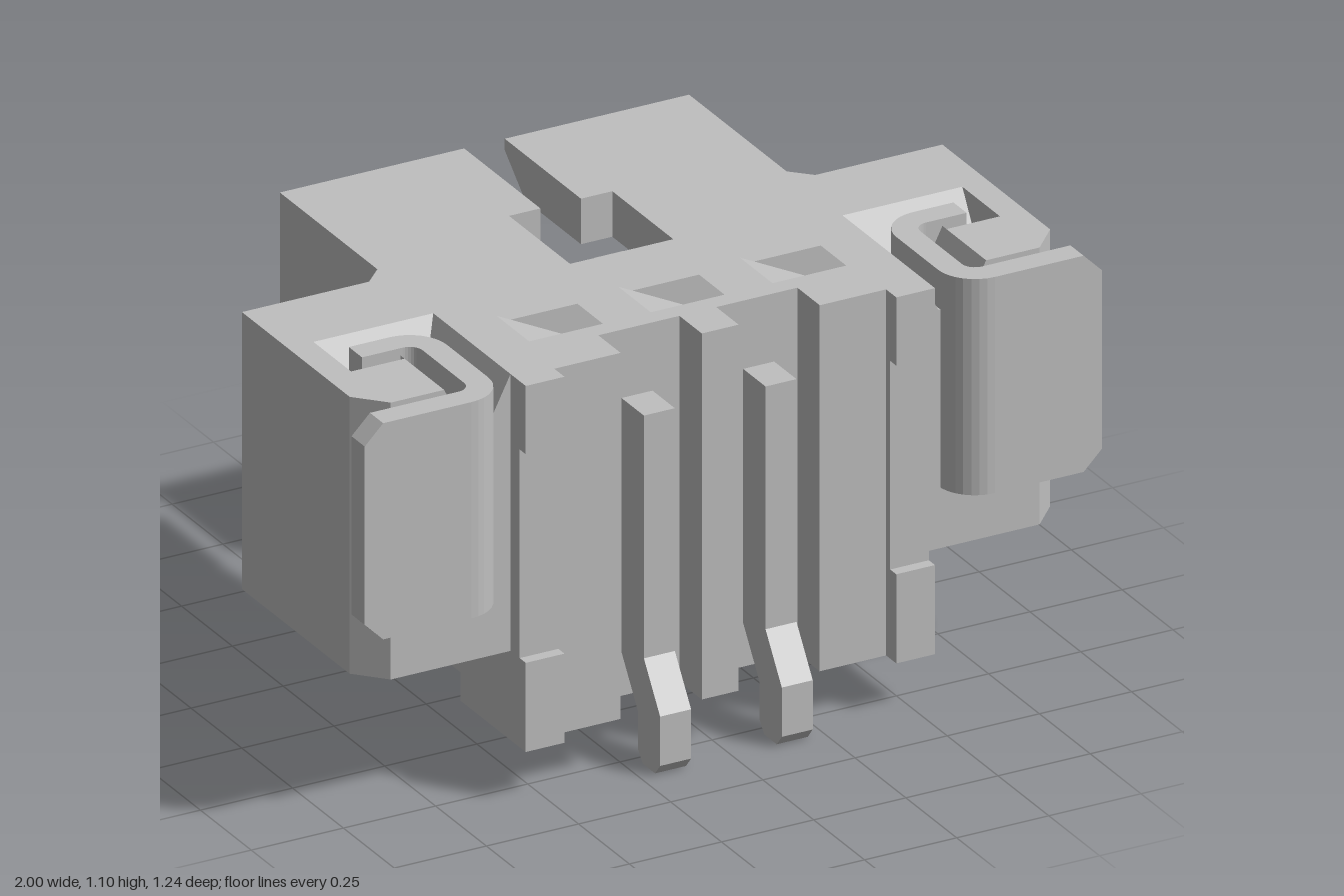
import * as THREE from 'three';

const housingMat = new THREE.MeshStandardMaterial({ color: 0xbfbfbf });
housingMat.name = 'light grey';

function shapeOf(pts) {
  return new THREE.Shape(pts.map(([a, b]) => new THREE.Vector2(a, b)));
}

// outline of [x, z] points raised from y0 to y1
function alongY(pts, y0, y1, holes = []) {
  const flip = (list) => list.map(([x, z]) => [x, -z]);
  const s = shapeOf(flip(pts));
  for (const h of holes) s.holes.push(shapeOf(flip(h)));
  const g = new THREE.ExtrudeGeometry(s, { depth: y1 - y0, bevelEnabled: false });
  return g.rotateX(-Math.PI / 2).translate(0, y0, 0);
}

// outline of [z, y] points running from x0 to x1
function alongX(pts, x0, x1) {
  const g = new THREE.ExtrudeGeometry(shapeOf(pts), { depth: x1 - x0, bevelEnabled: false });
  return g.rotateY(-Math.PI / 2).translate(x1, 0, 0);
}

// outline of [x, y] points running from z0 to z1
function alongZ(pts, z0, z1) {
  const g = new THREE.ExtrudeGeometry(shapeOf(pts), { depth: z1 - z0, bevelEnabled: false });
  return g.translate(0, 0, z0);
}

function box(x0, x1, y0, y1, z0, z1) {
  const g = new THREE.BoxGeometry(Math.abs(x1 - x0), y1 - y0, z1 - z0);
  return g.translate((x0 + x1) / 2, (y0 + y1) / 2, (z0 + z1) / 2);
}

const rect = (x0, x1, z0, z1) => [[x0, z0], [x1, z0], [x1, z1], [x0, z1]];

function arc(cx, cz, r, a0, a1, n = 8) {
  return Array.from({ length: n + 1 }, (_, i) => {
    const a = a0 + ((a1 - a0) * i) / n;
    return [cx + r * Math.cos(a), cz + r * Math.sin(a)];
  });
}

export function createModel() {
  const model = new THREE.Group();
  const add = (name, geometry) => {
    const m = new THREE.Mesh(geometry, housingMat);
    m.name = name;
    model.add(m);
  };
  const mirrorPts = (pts, s) => pts.map(([a, b]) => [a * s, b]);
  const spanX = (s, a, b) => (s > 0 ? [a, b] : [-b, -a]);

  // base block with stepped front and contact slots
  const half = [[0.555, 0.54], [0.45, 0.54], [0.27, 0.54], [0.27, 0.43], [0.05, 0.43], [0.05, 0.54]];
  const front = [...half, ...half.slice().reverse().map(([x, z]) => [-x, z])];
  const baseOutline = (zBack) => [[0.555, zBack], ...front, [-0.555, zBack]];
  add('baseFoot', alongY(baseOutline(0.27), 0.135, 0.21));
  add('base', alongY(baseOutline(0.2), 0.21, 1.0));

  // shallow sloped pockets in the top of the base
  const pockets = [-0.33, 0, 0.33].map((x) => [x - 0.1, x + 0.1]);
  add('baseTop', alongY(baseOutline(0.12), 1.0, 1.1, pockets.map(([a, b]) => rect(a, b, 0.22, 0.38))));
  for (const [a, b] of pockets) {
    add('pocketSlope', alongZ([[a, 1.0], [b, 1.0], [b - 0.02, 1.01], [a, 1.1]], 0.22, 0.38));
  }

  // cavity roof with keyed slot
  const roof = (z) => [
    [-0.555, z], [-0.055, z], [-0.055, -0.245], [-0.14, -0.245], [-0.14, 0.055], [0.14, 0.055],
    [0.14, -0.245], [0.055, -0.245], [0.055, z], [0.555, z], [0.555, 0.2], [-0.555, 0.2],
  ];
  const thinRoof = roof(-0.62);
  thinRoof[10] = [0.555, 0.12];
  thinRoof[11] = [-0.555, 0.12];
  add('roofTop', alongY(thinRoof, 1.07, 1.1));
  add('roofUnderside', alongY(roof(-0.52), 0.98, 1.07));

  for (const s of [1, -1]) {
    // lead-in bevel at the cavity mouth
    add('roofBevel', alongX([[-0.62, 1.07], [-0.52, 0.98], [-0.52, 1.07]], ...spanX(s, 0.055, 0.5)));

    // cavity side wall, guide rib and lower rail
    add('sideWall', alongY(mirrorPts([
      [0.555, -0.62], [0.535, -0.62], [0.47, -0.54], [0.47, 0.2], [0.555, 0.2],
    ], s), 0.37, 1.07));
    add('guideRib', alongX([[-0.55, 0.57], [-0.5, 0.46], [0.2, 0.46], [0.2, 0.57]], ...spanX(s, 0.36, 0.48)));
    add('lowerRail', alongZ(mirrorPts([
      [0.27, 0.21], [0.555, 0.21], [0.555, 0.37], [0.31, 0.37], [0.27, 0.33],
    ], s), -0.36, 0.22));

    // front corner post: proud at both ends, recessed between
    const [p0, p1] = spanX(s, 0.45, 0.555);
    add('cornerPost', alongX([
      [0.5, 0.135], [0.59, 0.135], [0.59, 0.37], [0.56, 0.37],
      [0.56, 0.92], [0.59, 0.92], [0.59, 1.1], [0.5, 1.1],
    ], p0, p1));

    // side ear with L-shaped pocket in the top
    const ear = [
      [0.5, -0.1], [0.555, -0.14], [0.605, -0.09], [0.95, -0.09], [0.95, 0.44], [0.88, 0.515], [0.5, 0.515],
    ];
    add('ear', alongY(mirrorPts(ear, s), 0.37, 1.0));
    add('earTop', alongY(mirrorPts([
      [0.555, -0.14], [0.605, -0.09], [0.95, -0.09], [0.95, 0.44], [0.88, 0.515], [0.735, 0.515],
      [0.735, 0.32], [0.88, 0.32], [0.88, 0.135], [0.555, 0.135],
    ], s), 1.0, 1.1));
    // sloped pocket sides
    add('earPocketSlope', alongX([[0.135, 1.0], [0.195, 1.0], [0.135, 1.1]], ...spanX(s, 0.555, 0.88)));
    add('earPocketSlope', alongZ(mirrorPts([[0.735, 1.0], [0.685, 1.0], [0.735, 1.1]], s), 0.3, 0.515));
    add('earPocketSlope', alongZ(mirrorPts([[0.555, 1.0], [0.605, 1.0], [0.555, 1.1]], s), 0.135, 0.515));

    // bent retention tab
    const P = Math.PI;
    const bend = [
      [0.73, 0.605], ...arc(0.71, 0.505, 0.1, P / 2, P), ...arc(0.71, 0.3, 0.1, P, 1.5 * P), [0.82, 0.2],
      [0.82, 0.265], ...arc(0.71, 0.3, 0.035, 1.5 * P, P), ...arc(0.71, 0.505, 0.035, P, P / 2), [0.73, 0.54],
    ];
    add('tabBend', alongY(mirrorPts(bend, s), 0.53, 1.1));
    add('tabPlate', alongZ(mirrorPts([
      [0.73, 0.53], [0.95, 0.53], [1, 0.58], [1, 1.05], [0.95, 1.1], [0.73, 1.1],
    ], s), 0.54, 0.605));

    // contact: solder tail, upright and mating pin
    const x = 0.165 * s;
    add('contact', alongX([
      [0.535, 0], [0.595, 0], [0.62, 0.03], [0.62, 0.16], [0.54, 0.28], [0.54, 0.92],
      [-0.25, 0.92], [-0.31, 0.9], [-0.31, 0.86], [-0.25, 0.84],
      [0.43, 0.84], [0.43, 0.25], [0.51, 0.13], [0.51, 0.03],
    ], x - 0.042, x + 0.042));
  }

  return model;
}
